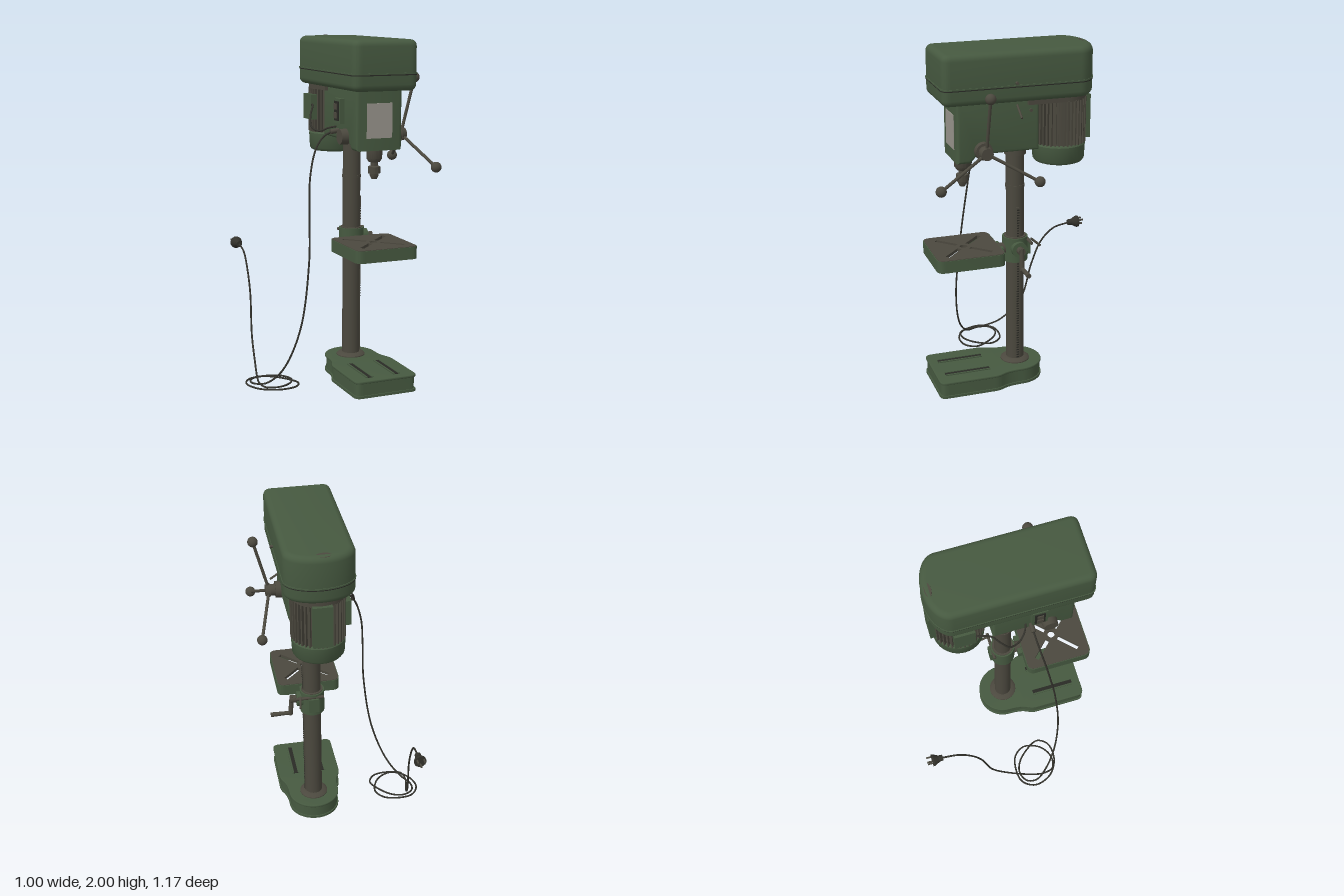
import * as THREE from 'three';
import { toCreasedNormals } from 'three/addons/utils/BufferGeometryUtils.js';

const mat = (name, color, side = THREE.FrontSide) => {
  const m = new THREE.MeshStandardMaterial({ color, side });
  m.name = name;
  return m;
};
const V = (x, y, z) => new THREE.Vector3(x, y, z);

export function createModel() {
  const root = new THREE.Group();
  const green = mat('green paint', 0x465940);
  const metal = mat('dark metal', 0x4b483e);
  const cableMat = mat('cable rubber', 0x33322c);
  const plateMat = mat('front plate grey', 0x98948c);
  const black = mat('slot black', 0x292a25);
  const CX = 0.18, CZ = 0.045; // column axis

  const add = (name, geo, m, x = 0, y = 0, z = 0) => {
    const mesh = new THREE.Mesh(geo, m);
    mesh.name = name;
    mesh.position.set(x, y, z);
    root.add(mesh);
    return mesh;
  };
  const box = (name, m, x0, x1, y0, y1, z0, z1) =>
    add(name, new THREE.BoxGeometry(x1 - x0, y1 - y0, z1 - z0), m, (x0 + x1) / 2, (y0 + y1) / 2, (z0 + z1) / 2);
  const rod = (name, m, a, b, r, r2 = r, seg = 20) => {
    const d = b.clone().sub(a);
    const mesh = add(name, new THREE.CylinderGeometry(r2, r, d.length(), seg), m);
    mesh.position.copy(a).addScaledVector(d, 0.5);
    mesh.quaternion.setFromUnitVectors(V(0, 1, 0), d.normalize());
    return mesh;
  };
  const lathe = (name, m, pts, x, y, z) =>
    add(name, toCreasedNormals(new THREE.LatheGeometry(pts.map(p => new THREE.Vector2(...p)), 36), 0.6), m, x, y, z);
  // Plan outline (x, z) extruded from y0 to y1 with rounded edges
  const slab = (name, m, shape, y0, y1, b = 0) => {
    const g = new THREE.ExtrudeGeometry(shape, {
      depth: y1 - y0 - 2 * b, bevelEnabled: b > 0, bevelThickness: b, bevelSize: b,
      bevelOffset: -b, bevelSegments: 5, curveSegments: 16,
    });
    g.rotateX(Math.PI / 2).translate(0, y1 - b, 0);
    return add(name, toCreasedNormals(g, 0.6), m);
  };
  const roundRect = (P, x0, x1, z0, z1, r) => {
    const s = new P();
    s.moveTo(x0 + r, z0).lineTo(x1 - r, z0).quadraticCurveTo(x1, z0, x1, z0 + r);
    s.lineTo(x1, z1 - r).quadraticCurveTo(x1, z1, x1 - r, z1);
    s.lineTo(x0 + r, z1).quadraticCurveTo(x0, z1, x0, z1 - r);
    s.lineTo(x0, z0 + r).quadraticCurveTo(x0, z0, x0 + r, z0);
    return s;
  };
  const cable = (name, pts, r = 0.0055) => add(name,
    new THREE.TubeGeometry(new THREE.CatmullRomCurve3(pts.map(p => V(...p))), pts.length * 9, r, 8), cableMat);

  // Base: wide front block necking into a round heel
  const baseShape = o => {
    const s = new THREE.Shape(), w = 0.193 - o, f = 0.553 - o, r = 0.155 - o;
    s.moveTo(CX - w + 0.04, f).lineTo(CX + w - 0.04, f).quadraticCurveTo(CX + w, f, CX + w, f - 0.04);
    s.lineTo(CX + w, 0.23).bezierCurveTo(CX + w, 0.16, CX + r, 0.18, CX + r, CZ);
    s.absarc(CX, CZ, r, 0, Math.PI, true);
    s.bezierCurveTo(CX - r, 0.18, CX - w, 0.16, CX - w, 0.23);
    s.lineTo(CX - w, f - 0.04).quadraticCurveTo(CX - w, f, CX - w + 0.04, f);
    return s;
  };
  slab('baseFoot', green, baseShape(0), 0, 0.015);
  slab('baseBody', green, baseShape(0.007), 0.01, 0.095);
  slab('baseLip', green, baseShape(0), 0.085, 0.1, 0.004);
  for (const s of [-1, 1]) {
    box('baseSlot', black, CX + s * 0.085 - 0.012, CX + s * 0.085 + 0.012, 0.098, 0.1025, 0.23, 0.5);
    for (const t of [-1, 1]) {
      const x = CX + s * 0.085 + t * 0.017;
      box('slotEdge', green, x - 0.005, x + 0.005, 0.098, 0.106, 0.23, 0.5);
    }
  }
  lathe('columnFlange', metal, [[0.085, 0], [0.085, 0.01], [0.07, 0.022], [0.05, 0.024]], CX, 0.095, CZ);

  // Column with rack and collars
  rod('column', metal, V(CX, 0.09, CZ), V(CX, 1.45, CZ), 0.052, 0.052, 40);
  box('rack', metal, CX + 0.045, CX + 0.057, 0.12, 1.07, CZ - 0.009, CZ + 0.009);
  for (let i = 0; i < 60; i++)
    box('rackTooth', black, CX + 0.05, CX + 0.0585, 0.126 + i * 0.0157, 0.133 + i * 0.0157, CZ - 0.007, CZ + 0.007);
  rod('columnRing', metal, V(CX, 1.185, CZ), V(CX, 1.2, CZ), 0.056, 0.056, 40);
  rod('columnCollar', metal, V(CX, 1.38, CZ), V(CX, 1.44, CZ), 0.062, 0.062, 40);

  // Table: hollow rim and slotted top
  const rim = roundRect(THREE.Shape, -0.01, 0.37, 0.155, 0.553, 0.045);
  rim.holes.push(roundRect(THREE.Path, 0.01, 0.35, 0.175, 0.533, 0.035));
  slab('tableRim', green, rim, 0.78, 0.85);
  const top = roundRect(THREE.Shape, -0.006, 0.366, 0.159, 0.549, 0.042);
  const TZ = 0.354;
  top.holes.push(new THREE.Path().absarc(CX, TZ, 0.022, 0, Math.PI * 2, true));
  for (let i = 0; i < 4; i++) {
    const a = Math.PI / 4 + i * Math.PI / 2, c = Math.cos(a), s = Math.sin(a), h = new THREE.Path();
    [[0.045, -0.013], [0.185, -0.013], [0.185, 0.013], [0.045, 0.013]].forEach(([u, v], k) =>
      h[k ? 'lineTo' : 'moveTo'](CX + u * c - v * s, TZ + u * s + v * c));
    h.closePath();
    top.holes.push(h);
  }
  slab('tableTop', metal, top, 0.835, 0.853);

  // Table bracket, crank and lock lever
  rod('bracketCollar', green, V(CX, 0.74, CZ), V(CX, 0.885, CZ), 0.073, 0.073, 36);
  rod('bracketRing', metal, V(CX, 0.88, CZ), V(CX, 0.89, CZ), 0.064, 0.064, 36);
  rod('tableArm', metal, V(CX, 0.812, 0.1), V(CX, 0.812, 0.18), 0.034);
  box('tableArmPad', green, CX - 0.06, CX + 0.06, 0.785, 0.835, 0.13, 0.165);
  rod('crankHousing', green, V(0.22, 0.825, CZ), V(0.275, 0.825, CZ), 0.045);
  rod('crankShaft', metal, V(0.27, 0.825, CZ), V(0.312, 0.825, CZ), 0.022);
  rod('crankArm', metal, V(0.302, 0.845, CZ), V(0.314, 0.715, CZ), 0.014);
  rod('crankHandle', metal, V(0.305, 0.726, CZ), V(0.432, 0.726, CZ), 0.011, 0.014);
  box('clampLug', green, 0.15, 0.21, 0.77, 0.86, -0.04, 0);
  rod('clampBolt', metal, V(0.12, 0.865, -0.02), V(0.29, 0.865, -0.02), 0.009);
  rod('lockLever', metal, V(0.26, 0.885, -0.025), V(0.27, 0.838, -0.08), 0.007);

  // Head casting: side profile (z, y) extruded across x
  const prof = new THREE.Shape();
  [[0.42, 1.73], [-0.05, 1.73], [-0.05, 1.43], [0.3, 1.43], [0.345, 1.385], [0.42, 1.385]]
    .forEach(([z, y], k) => prof[k ? 'lineTo' : 'moveTo'](z, y));
  const b = 0.018;
  const head = new THREE.ExtrudeGeometry(prof, {
    depth: 0.28 - 2 * b, bevelThickness: b, bevelSize: b, bevelOffset: -b, bevelSegments: 4,
  });
  head.rotateY(-Math.PI / 2).translate(0.32 - b, 0, 0);
  add('headBody', toCreasedNormals(head, 0.5), green);
  box('frontPanel', plateMat, 0.102, 0.257, 1.455, 1.65, 0.418, 0.424);

  // Belt cover with seam
  const coverShape = o => {
    const s = new THREE.Shape(), w = 0.197 + o, f = 0.512 + o, k = -0.392 - o;
    s.moveTo(CX - w + 0.05, f).lineTo(CX + w - 0.05, f).quadraticCurveTo(CX + w, f, CX + w, f - 0.05);
    s.lineTo(CX + w, -0.27);
    s.absellipse(CX, -0.27, w, -0.27 - k, 0, -Math.PI, true);
    s.lineTo(CX - w, f - 0.05).quadraticCurveTo(CX - w, f, CX - w + 0.05, f);
    return s;
  };
  slab('beltCover', green, coverShape(-0.002), 1.72, 2, 0.035);
  slab('coverSeam', black, coverShape(0.0005), 1.806, 1.812);
  slab('coverLip', green, coverShape(0.002), 1.812, 1.82);
  const badge = add('coverBadge', new THREE.CylinderGeometry(0.042, 0.042, 0.006, 28), metal, 0.168, 1.996, -0.355);
  badge.scale.z = 0.45;
  badge.rotation.x = -0.2;
  rod('coverLatch', metal, V(0.37, 1.832, 0.1), V(0.393, 1.832, 0.1), 0.008);

  // Motor: ribbed shell, end cap, covers
  const MZ = -0.215;
  rod('motorCore', metal, V(CX, 1.42, MZ), V(CX, 1.71, MZ), 0.135, 0.135, 40);
  for (let i = 0; i < 40; i++) {
    const a = i / 40 * Math.PI * 2;
    const fin = add('motorFin', new THREE.BoxGeometry(0.025, 0.26, 0.008), metal,
      CX + Math.cos(a) * 0.142, 1.565, MZ + Math.sin(a) * 0.142);
    fin.rotation.y = -a;
  }
  rod('motorTopRing', metal, V(CX, 1.69, MZ), V(CX, 1.725, MZ), 0.152, 0.152, 40);
  lathe('motorCap', green, [[0, 0], [0.125, 0], [0.138, 0.005], [0.147, 0.018], [0.152, 0.105], [0.145, 0.115], [0, 0.115]],
    CX, 1.32, MZ);
  box('motorRearCover', green, CX - 0.055, CX + 0.055, 1.45, 1.7, -0.386, -0.345);
  box('junctionBox', green, 0.005, 0.05, 1.51, 1.66, -0.275, -0.155);
  box('motorMount', metal, 0.02, 0.345, 1.695, 1.725, -0.2, 0.02);

  // Spindle nose and chuck
  lathe('spindleNose', metal, [[0, 0], [0.032, 0], [0.045, 0.02], [0.045, 0.075], [0, 0.075]], CX, 1.315, 0.355);
  lathe('chuck', metal, [[0, 0], [0.016, 0], [0.026, 0.022], [0.026, 0.03], [0.035, 0.032], [0.035, 0.07],
    [0.022, 0.076], [0.022, 0.105]], CX, 1.218, 0.355);

  // Feed hub with three spokes
  const HY = 1.455, HZ = 0.275;
  rod('feedFlange', metal, V(0.31, HY, HZ), V(0.35, HY, HZ), 0.052, 0.048, 32);
  rod('feedBoss', metal, V(0.34, HY, HZ), V(0.385, HY, HZ), 0.034, 0.034, 28);
  rod('feedHub', metal, V(0.38, HY, HZ), V(0.408, HY, HZ), 0.04, 0.034, 28);
  for (let i = 0; i < 3; i++) {
    const a = Math.PI / 2 + i * Math.PI * 2 / 3, y = Math.sin(a), z = Math.cos(a);
    const end = V(0.468, HY + y * 0.322, HZ + z * 0.322);
    rod('feedSpoke', metal, V(0.39, HY + y * 0.02, HZ + z * 0.02), end, 0.009);
    add('feedKnob', new THREE.SphereGeometry(0.03, 24, 16), metal, end.x, end.y, end.z);
  }

  // Spring cap, switch, speed lever and small pins
  rod('springCap', metal, V(0.045, HY, HZ), V(0, HY, HZ), 0.046, 0.042, 32);
  box('switchBox', green, 0.012, 0.045, 1.525, 1.665, 0.165, 0.255);
  box('switchFace', black, 0.007, 0.013, 1.54, 1.65, 0.18, 0.24);
  for (const y of [1.57, 1.62]) box('switchButton', metal, 0.001, 0.009, y - 0.017, y + 0.017, 0.192, 0.228);
  rod('speedLever', metal, V(0.31, 1.7, 0.078), V(0.4, 1.64, 0.078), 0.006);
  rod('sidePin', metal, V(0.31, 1.66, 0), V(0.328, 1.66, 0), 0.009);
  rod('cableGland', metal, V(0.045, 1.48, 0.17), V(-0.01, 1.472, 0.17), 0.014);

  // Cables
  cable('motorCable', [[0.01, 1.6, -0.16], [-0.015, 1.6, -0.08], [-0.05, 1.55, -0.03], [-0.065, 1.49, 0.02],
    [-0.04, 1.47, 0.08], [0, 1.49, 0.12], [0.045, 1.5, 0.14]]);
  cable('powerCable', [
    [0, 1.473, 0.17], [-0.05, 1.45, 0.173], [-0.105, 1.38, 0.185], [-0.15, 1.23, 0.21], [-0.166, 1.05, 0.235],
    [-0.183, 0.75, 0.272], [-0.245, 0.36, 0.287], [-0.335, 0.12, 0.24], [-0.41, 0.03, 0.17],
    [-0.465, 0.012, 0.09], [-0.455, 0.012, 0.025], [-0.39, 0.012, -0.007], [-0.32, 0.01, 0.015], [-0.25, 0.008, 0.085],
    [-0.21, 0.006, 0.165], [-0.25, 0.006, 0.228], [-0.36, 0.006, 0.24], [-0.46, 0.006, 0.18], [-0.497, 0.006, 0.07],
    [-0.45, 0.006, -0.008], [-0.36, 0.006, -0.024], [-0.27, 0.006, 0], [-0.225, 0.006, 0.07], [-0.26, 0.014, 0.17],
    [-0.34, 0.016, 0.222], [-0.42, 0.018, 0.21], [-0.44, 0.022, 0.14], [-0.427, 0.035, 0.06], [-0.4, 0.08, -0.05],
    [-0.374, 0.22, -0.18], [-0.358, 0.465, -0.248], [-0.355, 0.61, -0.31], [-0.348, 0.69, -0.39], [-0.344, 0.716, -0.49]]);

  // Plug with three prongs
  const px = -0.344, py = 0.717;
  rod('plugNeck', cableMat, V(px, py, -0.485), V(px, py, -0.515), 0.018, 0.02);
  rod('plugBody', cableMat, V(px, py, -0.51), V(px, py, -0.54), 0.02, 0.036);
  rod('plugFace', cableMat, V(px, py, -0.54), V(px, py, -0.552), 0.036, 0.036);
  for (const [dx, dy] of [[-0.02, 0.014], [0.02, 0.014], [0, -0.016]])
    box('plugProng', metal, px + dx - 0.004, px + dx + 0.004, py + dy - 0.005, py + dy + 0.005, -0.582, -0.548);

  return root;
}
